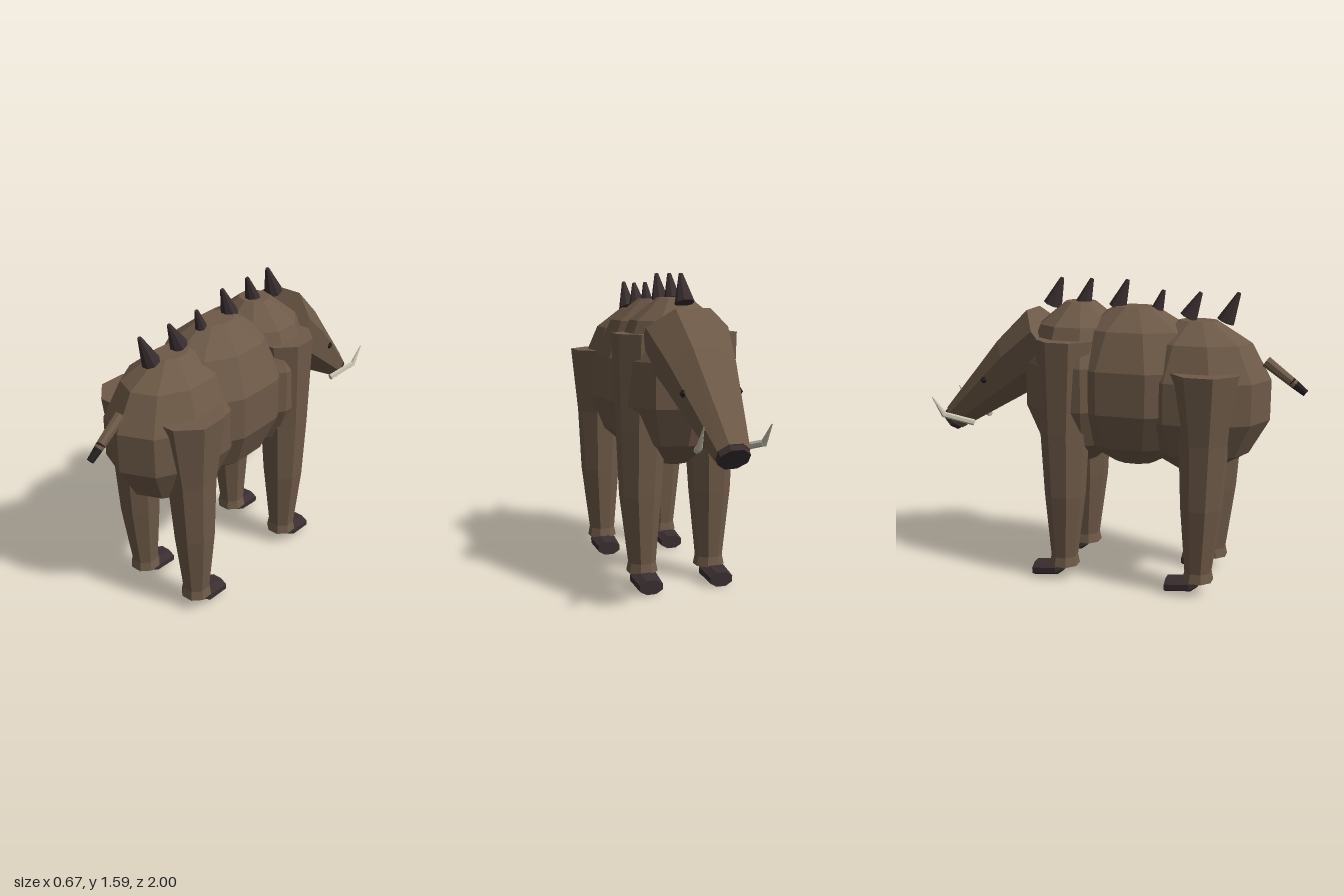
import * as THREE from 'three';

const mat = (name, color) => {
  const m = new THREE.MeshStandardMaterial({ color });
  m.name = name;
  return m;
};

// Faceted loft through horizontal rings [y, rx, rz, cx, cz], capped at both ends.
function loft(rings, n, phase = 0) {
  const pos = [], idx = [];
  for (const [y, rx, rz, cx = 0, cz = 0] of rings) {
    for (let j = 0; j < n; j++) {
      const a = ((j + phase) / n) * Math.PI * 2;
      pos.push(cx + rx * Math.sin(a), y, cz + rz * Math.cos(a));
    }
  }
  for (let i = 0; i < rings.length - 1; i++) {
    for (let j = 0; j < n; j++) {
      const a = i * n + j, b = i * n + (j + 1) % n;
      idx.push(a, b, b + n, a, b + n, a + n);
    }
  }
  const top = (rings.length - 1) * n;
  for (let j = 1; j < n - 1; j++) {
    idx.push(0, j + 1, j, top, top + j, top + j + 1);
  }
  const g = new THREE.BufferGeometry();
  g.setAttribute('position', new THREE.Float32BufferAttribute(pos, 3));
  g.setIndex(idx);
  const flat = g.toNonIndexed();
  flat.computeVertexNormals();
  return flat;
}

export function createModel() {
  const group = new THREE.Group();
  const hide = mat('brown hide', 0x6e5a48);
  const horn = mat('dark horn', 0x3a2e30);
  const ivory = mat('ivory', 0xc8c3b0);
  const black = mat('near black', 0x241e1e);

  const add = (name, geo, material) => {
    const m = new THREE.Mesh(geo, material);
    m.name = name;
    group.add(m);
    return m;
  };

  // Tapered rod from point a to point b
  const up = new THREE.Vector3(0, 1, 0);
  const rod = (name, a, b, ra, rb, material, n = 8) => {
    const p = new THREE.Vector3(...a), d = new THREE.Vector3(...b).sub(p);
    const m = add(name, loft([[0, ra, ra], [d.length(), rb, rb]], n, 0.5), material);
    m.position.copy(p);
    m.quaternion.setFromUnitVectors(up, d.normalize());
    return m;
  };

  // Body: three overlapping faceted ellipsoids with flat poles
  const barrel = (name, y, z, rx, ry, rz) => {
    const rings = [];
    for (let deg = 165; deg >= 15; deg -= 30) {
      const a = deg * Math.PI / 180;
      rings.push([ry * Math.cos(a), rx * Math.sin(a), rz * Math.sin(a)]);
    }
    add(name, loft(rings, 10), hide).position.set(0, y, z);
  };
  barrel('rump', 1.015, 0.44, 0.29, 0.4, 0.39);
  barrel('belly', 1.05, 0.11, 0.315, 0.425, 0.43);
  barrel('chest', 1.055, -0.19, 0.315, 0.435, 0.31);

  // Head: long wedge sloping down and forward, ending in a dark nose
  const tilt = Math.atan2(-0.79, -0.62);
  const K = 1 / Math.cos(Math.PI / 8);
  const headPart = (name, rings, material) => {
    const m = add(name, loft(rings, 8, 0.5), material);
    m.position.set(0, 1.27, -0.336);
    m.rotation.x = tilt;
  };
  headPart('head', [
    [0, 0.215 * K, 0.2 * K],
    [0.25, 0.172 * K, 0.16 * K, 0, 0.015],
    [0.76, 0.08 * K, 0.07 * K],
  ], hide);
  headPart('nose', [[0.74, 0.074 * K, 0.062 * K], [0.79, 0.074 * K, 0.062 * K]], horn);

  // Legs, hooves, eyes and tusks, mirrored
  const legs = [
    ['hindLeg', [[0.08, 0.075, 0.185, 0.505], [0.13, 0.066, 0.185, 0.505], [0.48, 0.1, 0.19, 0.515],
      [0.82, 0.118, 0.185, 0.52], [1.17, 0.173, 0.162, 0.515]], 0.425],
    ['foreLeg', [[0.08, 0.075, 0.185, -0.23], [0.13, 0.066, 0.185, -0.23], [0.48, 0.1, 0.19, -0.22],
      [0.82, 0.118, 0.185, -0.22], [1.3, 0.15, 0.165, -0.21]], -0.31],
  ];
  for (const [side, s] of [['left', 1], ['right', -1]]) {
    for (const [name, rows, hz] of legs) {
      const rings = rows.map(([y, r, x, z]) => [y, r * K, r * K, s * x, z]);
      add(`${side} ${name}`, loft(rings, 8, 0.5), hide);
      // Hoof lies along z, with a lower, narrower toe
      const hoof = add(`${side} ${name} hoof`, loft([
        [-0.085, 0.066, 0.034, 0, -0.004],
        [0.05, 0.075, 0.034, 0, 0.012],
        [0.085, 0.056, 0.02, 0, 0.022],
      ].map(([y, rx, rz, cx, cz]) => [-y, rx, rz, cx, cz]).reverse(), 8, 0.5), horn);
      hoof.rotation.x = -Math.PI / 2;
      hoof.position.set(s * 0.19, 0.044, hz);
      hoof.scale.set(1, 1, 1.15);
    }
    const eye = add(`${side} eye`, loft([[-0.017, 0.01, 0.01], [0, 0.021, 0.021], [0.017, 0.01, 0.01]], 8), black);
    eye.position.set(s * 0.137, 1.05, -0.695);
    rod(`${side} tusk base`, [s * 0.105, 0.8, -0.78], [s * 0.155, 0.845, -0.935], 0.017, 0.016, ivory, 6);
    rod(`${side} tusk tip`, [s * 0.155, 0.838, -0.928], [s * 0.162, 0.94, -0.998], 0.017, 0.003, ivory, 6);
  }

  // Row of back spines: base y, base z, tip y, tip z, radius
  const spines = [
    [1.4, 0.575, 1.545, 0.64, 0.047], [1.415, 0.385, 1.54, 0.447, 0.047], [1.425, 0.215, 1.545, 0.255, 0.037],
    [1.45, 0.01, 1.592, 0.065, 0.047], [1.465, -0.175, 1.592, -0.128, 0.042], [1.45, -0.348, 1.592, -0.292, 0.05],
  ];
  spines.forEach(([y0, z0, y1, z1, r], i) =>
    rod(`spine ${i + 1}`, [0, y0, z0], [0, y1, z1], r, 0.01, horn));

  // Tail with a dark tuft
  rod('tail', [0, 1.21, 0.785], [0, 1.1, 0.935], 0.029, 0.023, hide);
  rod('tail tuft', [0, 1.115, 0.915], [0, 1.06, 0.988], 0.024, 0.018, black);

  return group;
}
